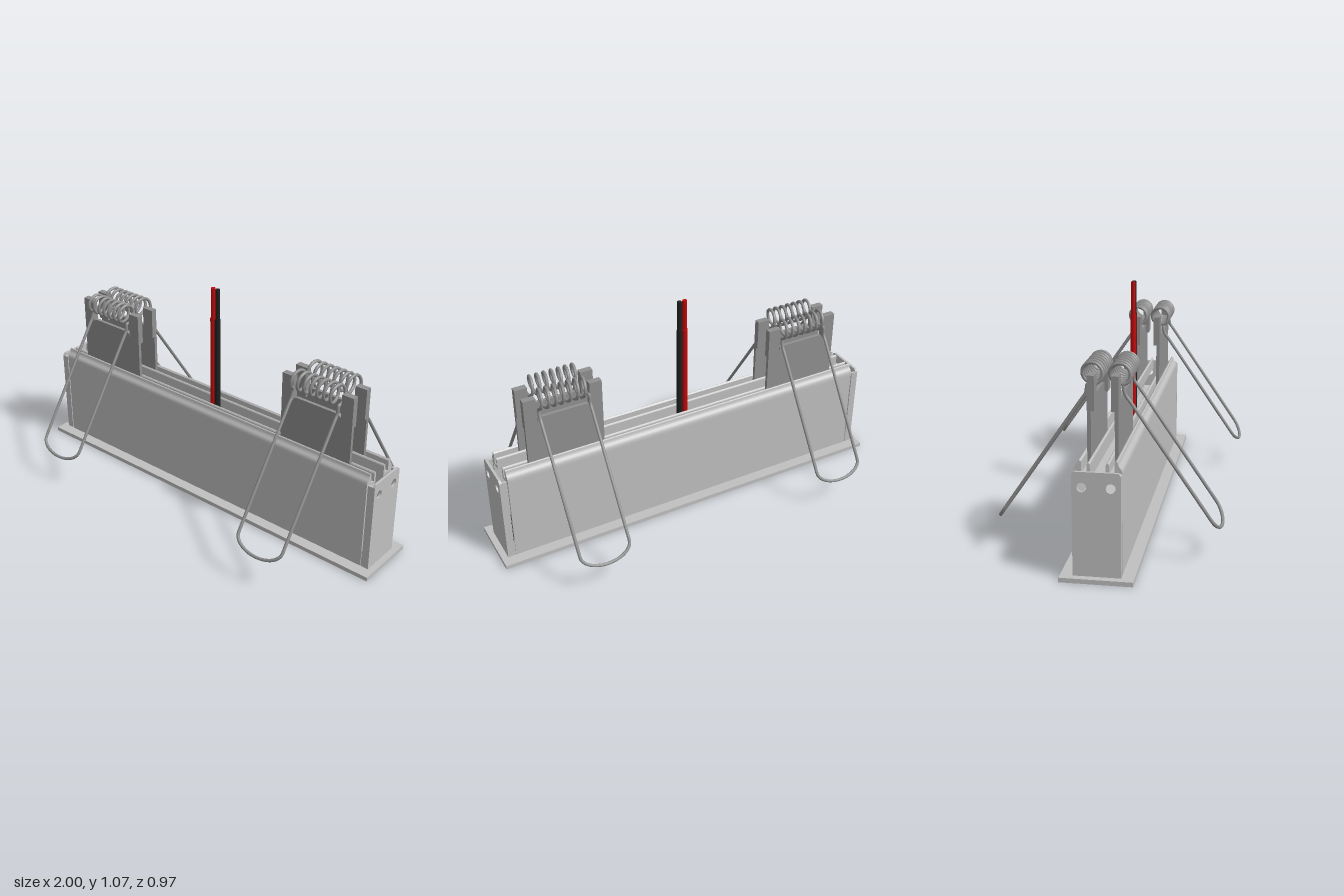
import * as THREE from 'three';
import { mergeGeometries } from 'three/addons/utils/BufferGeometryUtils.js';

const mat = (name, color) => {
  const m = new THREE.MeshStandardMaterial({ color });
  m.name = name;
  return m;
};

export function createModel() {
  const silver = mat('silver housing', 0xc0c0c0);
  const steel = mat('steel grey', 0x909090);
  const black = mat('black', 0x202020);
  const red = mat('red', 0xc00808);
  const root = new THREE.Group();
  root.name = 'recessedLinearLight';

  const add = (parent, name, geo, material, x = 0, y = 0, z = 0) => {
    const m = new THREE.Mesh(geo, material);
    m.name = name;
    m.position.set(x, y, z);
    parent.add(m);
    return m;
  };
  const box = (w, h, d, x = 0, y = 0, z = 0) => new THREE.BoxGeometry(w, h, d).translate(x, y, z);
  const extrude = (shape, depth) =>
    new THREE.ExtrudeGeometry(shape, { depth, bevelEnabled: false, curveSegments: 10 });
  const rect = (C, hx, hy) => new C([
    [-hx, -hy], [hx, -hy], [hx, hy], [-hx, hy],
  ].map(([x, y]) => new THREE.Vector2(x, y)));
  // rectangular ring lying flat, from y0 to y1
  const ring = (hx, hz, ix, iz, y0, y1) => {
    const s = rect(THREE.Shape, hx, hz);
    s.holes.push(rect(THREE.Path, ix, iz));
    return extrude(s, y1 - y0).rotateX(-Math.PI / 2).translate(0, y0, 0);
  };
  // profile drawn in (z, y), run along x and centred
  const along = (shape, len) => extrude(shape, len).rotateY(-Math.PI / 2).translate(len / 2, 0, 0);

  // bottom trim and recessed opening
  add(root, 'flange', ring(1, 0.153, 0.93, 0.088, 0, 0.02), silver);
  add(root, 'recessWalls', ring(0.945, 0.096, 0.93, 0.088, 0.02, 0.1), silver);
  add(root, 'lampCore', box(1.76, 0.24, 0.15, 0, 0.22, 0), silver);
  const fins = [box(1.88, 0.012, 0.18, 0, 0.096, 0)];
  for (let i = 0; i < 92; i++) fins.push(box(0.009, 0.018, 0.174, -0.91 + i * 0.02, 0.082, 0));
  add(root, 'grille', mergeGeometries(fins), black);

  // long side wall with curled top and rail groove
  const wall = new THREE.Shape();
  wall.moveTo(0.1, 0.02);
  wall.lineTo(0.1, 0.445);
  wall.bezierCurveTo(0.1, 0.475, 0.085, 0.47, 0.081, 0.492);
  wall.quadraticCurveTo(0.08, 0.5, 0.075, 0.5);
  wall.lineTo(0.068, 0.494);
  wall.lineTo(0.068, 0.444);
  wall.lineTo(0.045, 0.444);
  wall.lineTo(0.045, 0.483);
  wall.quadraticCurveTo(0.0385, 0.497, 0.032, 0.483);
  wall.lineTo(0.032, 0.43);
  wall.lineTo(0.088, 0.43);
  wall.lineTo(0.088, 0.02);
  const wallGeo = along(wall, 1.86);

  // bracket plate: two ears and a lower rounded tongue between them
  const plate = new THREE.Shape();
  plate.moveTo(-0.187, 0.444);
  plate.lineTo(0.187, 0.444);
  plate.lineTo(0.187, 0.817);
  plate.lineTo(0.127, 0.817);
  plate.lineTo(0.127, 0.69);
  plate.quadraticCurveTo(0.127, 0.717, 0.1, 0.717);
  plate.lineTo(-0.1, 0.717);
  plate.quadraticCurveTo(-0.127, 0.717, -0.127, 0.69);
  plate.lineTo(-0.127, 0.817);
  plate.lineTo(-0.187, 0.817);
  const plateGeo = extrude(plate, 0.016).translate(0, 0, 0.049);

  // spring: coil wound along x, continuing into a long U-shaped leg
  const pts = [];
  const turns = 7, per = 14, hw = 0.12;
  const start = -1.2;
  for (let i = 0; i <= turns * per; i++) {
    const a = start + (i / per) * Math.PI * 2;
    pts.push(new THREE.Vector3(-hw + (2 * hw * i) / (turns * per),
      0.807 + 0.044 * Math.sin(a), 0.058 + 0.044 * Math.cos(a)));
  }
  const top = new THREE.Vector2(0.082, 0.727), low = new THREE.Vector2(0.442, 0.2);
  const leg = (x, t) => {
    const p = top.clone().lerp(low, t);
    return new THREE.Vector3(x, p.y, p.x);
  };
  for (const t of [0, 0.06, 0.35, 0.65, 0.95]) pts.push(leg(hw, t));
  for (let i = 0; i <= 12; i++) {
    const a = (i / 12) * Math.PI;
    pts.push(leg(hw * Math.cos(a), 1 + 0.105 * Math.sin(a)));
  }
  for (const t of [0.95, 0.65, 0.35, 0.06, 0]) pts.push(leg(-hw, t));
  const path = new THREE.CatmullRomCurve3(pts, true, 'centripetal');
  path.arcLengthDivisions = 2000;
  const springGeo = new THREE.TubeGeometry(path, 520, 0.0075, 8, true);

  // both long sides, each with two spring brackets
  for (const turn of [0, Math.PI]) {
    const side = new THREE.Group();
    side.name = turn ? 'backSide' : 'frontSide';
    side.rotation.y = turn;
    root.add(side);
    add(side, 'sideWall', wallGeo, silver);
    for (const x of [-0.627, 0.627]) {
      const clip = new THREE.Group();
      clip.name = 'springClip';
      clip.position.x = x;
      side.add(clip);
      add(clip, 'bracketPlate', plateGeo, steel);
      for (const s of [-1, 1]) add(clip, 'earTab', box(0.06, 0.147, 0.014), steel, s * 0.157, 0.7435, 0.042);
      add(clip, 'spring', springGeo, steel);
    }
  }

  // end caps with two round holes and wrapped corners
  const cap = new THREE.Shape();
  cap.moveTo(-0.1, 0.02);
  cap.lineTo(0.1, 0.02);
  cap.lineTo(0.1, 0.452);
  cap.lineTo(0.09, 0.465);
  cap.lineTo(-0.09, 0.465);
  cap.lineTo(-0.1, 0.452);
  for (const z of [-0.059, 0.059]) {
    const hole = new THREE.Path();
    hole.absarc(z, 0.4, 0.02, 0, Math.PI * 2, true);
    cap.holes.push(hole);
  }
  const capGeo = along(cap, 0.012);
  for (const s of [-1, 1]) {
    add(root, 'endCap', capGeo, silver, s * 0.964);
    for (const z of [-0.094, 0.094]) {
      add(root, 'endCapReturn', box(0.024, 0.432, 0.012), silver, s * 0.947, 0.236, z);
    }
  }

  // twin cable with thinner upper ends
  for (const [name, x, m] of [['redWire', -0.0135, red], ['blackWire', 0.0135, black]]) {
    add(root, name, new THREE.CylinderGeometry(0.0138, 0.0138, 0.58, 16), m, x, 0.63, 0);
    add(root, name + 'End', new THREE.CylinderGeometry(0.011, 0.011, 0.15, 16), m, x, 0.995, 0);
  }
  return root;
}
